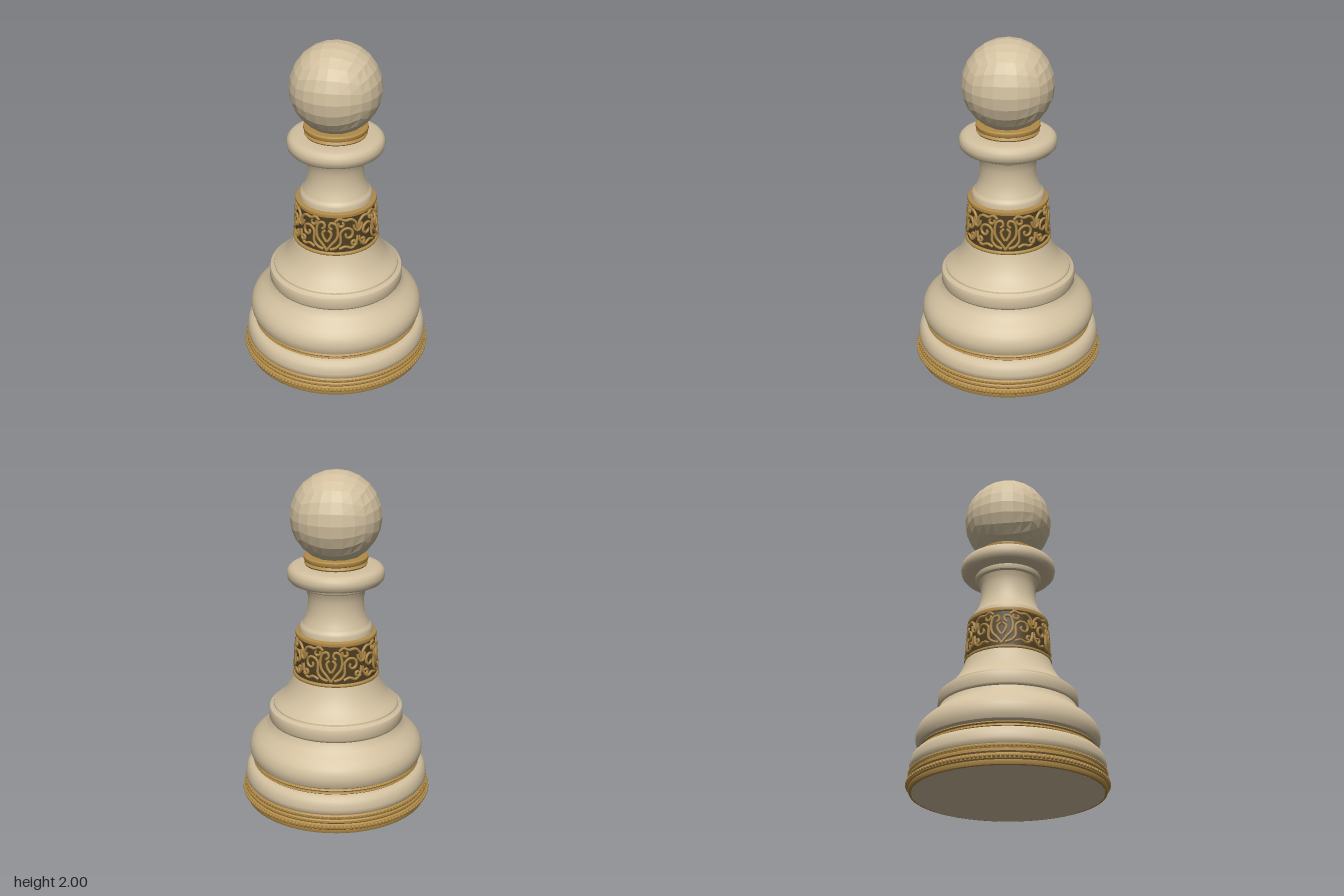
import * as THREE from 'three';
import { mergeGeometries, toCreasedNormals } from 'three/addons/utils/BufferGeometryUtils.js';

const ivory = new THREE.MeshStandardMaterial({ color: 0xd2c09f });
ivory.name = 'ivory';
const gold = new THREE.MeshStandardMaterial({ color: 0xb18b48 });
gold.name = 'gold';
const recess = new THREE.MeshStandardMaterial({ color: 0x4c3d22 });
recess.name = 'dark recess';

const BAND_LOW = 0.785, BAND_HIGH = 1.045;

function add(group, name, geometry, material) {
  const mesh = new THREE.Mesh(geometry, material);
  mesh.name = name;
  group.add(mesh);
  return mesh;
}

// Turned part from [radius, height] points, listed from bottom to top
function turned(points, segments = 64) {
  const profile = points.map(([r, y]) => new THREE.Vector2(r, y));
  return toCreasedNormals(new THREE.LatheGeometry(profile, segments), 0.6);
}

function ring(radius, y, thickness) {
  return new THREE.TorusGeometry(radius, thickness, 8, 80).rotateX(Math.PI / 2).translate(0, y, 0);
}

// String of tiny beads around a rim
function beads(radius, y, size, count) {
  const list = [];
  for (let i = 0; i < count; i++) {
    const a = (i / count) * Math.PI * 2;
    list.push(new THREE.SphereGeometry(size, 6, 5).translate(radius * Math.sin(a), y, radius * Math.cos(a)));
  }
  return mergeGeometries(list);
}

// Rounded cube mesh pushed out to a sphere, with flat facets
function facetedBall(radius, y) {
  const g = new THREE.BoxGeometry(2, 2, 2, 6, 6, 6).toNonIndexed();
  const p = g.attributes.position, v = new THREE.Vector3();
  for (let i = 0; i < p.count; i++) {
    v.fromBufferAttribute(p, i);
    v.set(...v.toArray().map((c) => Math.tan(c * Math.PI / 4))).setLength(radius);
    p.setXYZ(i, v.x, v.y + y, v.z);
  }
  g.computeVertexNormals();
  return g;
}

// Half of one scroll motif: [distance from its middle, height] paths
function spiral(u, y, r, start, turn) {
  const path = [];
  for (let i = 0; i <= 10; i++) {
    const t = i / 10, a = start + turn * t, k = r * (1 - 0.8 * t);
    path.push([u + k * Math.cos(a), y + k * Math.sin(a)]);
  }
  return path;
}
const halfMotif = [
  [[0.0, 0.815], [0.025, 0.85], [0.058, 0.89], [0.066, 0.94], [0.05, 0.985], [0.022, 0.99], [0.014, 0.965], [0.03, 0.95]],
  [[0.004, 0.87], [0.022, 0.9], [0.026, 0.925], [0.006, 0.945]],
  [[0.02, 0.82], [0.055, 0.832], [0.08, 0.86], ...spiral(0.127, 0.915, 0.05, 3.6, -7.5)],
  [[0.05, 1.0], [0.075, 1.018], [0.11, 1.005], [0.15, 1.008], [0.18, 0.985], [0.192, 0.945]],
  [[0.075, 0.825], [0.11, 0.838], [0.15, 0.825], [0.178, 0.85], [0.192, 0.9]],
  spiral(0.09, 0.985, 0.024, 2.6, 5),
  spiral(0.165, 0.86, 0.024, -0.6, -5),
  [[0.165, 0.975], [0.172, 0.945], [0.192, 0.925]],
];

function scrollwork() {
  const tubes = [], repeats = 4, width = 0.39;
  for (let n = 0; n < repeats; n++) {
    for (const side of [-1, 1]) {
      for (const path of halfMotif) {
        const points = path.map(([u, y]) => {
          const a = ((n + (side * u) / width) / repeats) * Math.PI * 2;
          const r = 0.248 - 0.017 * (y - BAND_LOW) / (BAND_HIGH - BAND_LOW);
          return new THREE.Vector3(r * Math.sin(a), y, r * Math.cos(a));
        });
        tubes.push(new THREE.TubeGeometry(new THREE.CatmullRomCurve3(points), 28, 0.0085, 6));
      }
    }
  }
  return mergeGeometries(tubes);
}

export function createModel() {
  const model = new THREE.Group();
  model.name = 'pawn';

  // Foot: gilded plinth with beaded rims
  const foot = new THREE.Group();
  foot.name = 'foot';
  model.add(foot);
  add(foot, 'underside', new THREE.CircleGeometry(0.535, 64).rotateX(Math.PI / 2), ivory);
  add(foot, 'plinth', turned([[0.535, 0], [0.548, 0.002], [0.553, 0.014], [0.553, 0.026], [0.56, 0.032],
    [0.562, 0.045], [0.56, 0.058], [0.55, 0.064], [0.556, 0.072], [0.556, 0.084], [0.549, 0.09],
    [0.553, 0.098], [0.553, 0.11], [0.545, 0.117], [0.5, 0.117]], 96), gold);
  add(foot, 'lowerBeads', beads(0.56, 0.045, 0.011, 150), gold);
  add(foot, 'upperBeads', beads(0.553, 0.103, 0.006, 150), gold);
  add(foot, 'footMoulding', turned([[0.5, 0.115], [0.54, 0.115], [0.55, 0.13], [0.551, 0.15], [0.547, 0.175],
    [0.538, 0.2], [0.522, 0.217], [0.49, 0.225], [0.4, 0.225]]), ivory);
  add(foot, 'lowerTrim', turned([[0.45, 0.222], [0.494, 0.222], [0.502, 0.229], [0.497, 0.237],
    [0.497, 0.241], [0.503, 0.248], [0.496, 0.256], [0.45, 0.257]], 80), gold);

  // Body: swelling belly, step and tapering shoulder
  const body = new THREE.Group();
  body.name = 'body';
  model.add(body);
  add(body, 'belly', turned([[0.45, 0.254], [0.49, 0.255], [0.51, 0.268], [0.519, 0.29], [0.522, 0.32],
    [0.517, 0.35], [0.503, 0.38], [0.48, 0.405], [0.45, 0.43], [0.42, 0.455], [0.402, 0.477], [0.393, 0.5]]), ivory);
  add(body, 'step', turned([[0.385, 0.495], [0.397, 0.503], [0.402, 0.515], [0.402, 0.568], [0.397, 0.58],
    [0.38, 0.588], [0.374, 0.593], [0.372, 0.603], [0.362, 0.612]]), ivory);
  add(body, 'shoulder', turned([[0.362, 0.612], [0.34, 0.63], [0.318, 0.652], [0.297, 0.68], [0.278, 0.715],
    [0.262, 0.75], [0.25, 0.79]]), ivory);

  // Ornamental band: dark ground with raised scrolls between two rims
  const band = new THREE.Group();
  band.name = 'ornamentalBand';
  model.add(band);
  add(band, 'bandGround', turned([[0.244, BAND_LOW], [0.226, BAND_HIGH]]), recess);
  add(band, 'scrollwork', scrollwork(), gold);
  add(band, 'lowerRim', ring(0.246, 0.792, 0.011), gold);
  add(band, 'upperRim', turned([[0.228, 1.022], [0.237, 1.026], [0.239, 1.036], [0.237, 1.047],
    [0.228, 1.051], [0.19, 1.051]]), gold);

  // Neck and collar
  const neck = new THREE.Group();
  neck.name = 'neck';
  model.add(neck);
  add(neck, 'neckShaft', turned([[0.214, 1.045], [0.213, 1.075], [0.207, 1.09], [0.197, 1.098], [0.194, 1.105],
    [0.182, 1.13], [0.172, 1.16], [0.166, 1.19], [0.163, 1.225], [0.164, 1.26], [0.169, 1.29],
    [0.179, 1.315], [0.191, 1.322], [0.196, 1.333], [0.196, 1.352]]), ivory);
  add(neck, 'collar', turned([[0.18, 1.35], [0.245, 1.351], [0.265, 1.357], [0.279, 1.373], [0.284, 1.4],
    [0.279, 1.427], [0.265, 1.443], [0.245, 1.45], [0.2, 1.453], [0.15, 1.453]]), ivory);
  add(neck, 'collarTrim', turned([[0.16, 1.452], [0.178, 1.455], [0.183, 1.463], [0.178, 1.471], [0.172, 1.476],
    [0.182, 1.481], [0.187, 1.492], [0.186, 1.504], [0.178, 1.51], [0.12, 1.51]]), gold);

  // Head
  add(model, 'ball', facetedBall(0.265, 1.735), ivory);
  return model;
}
